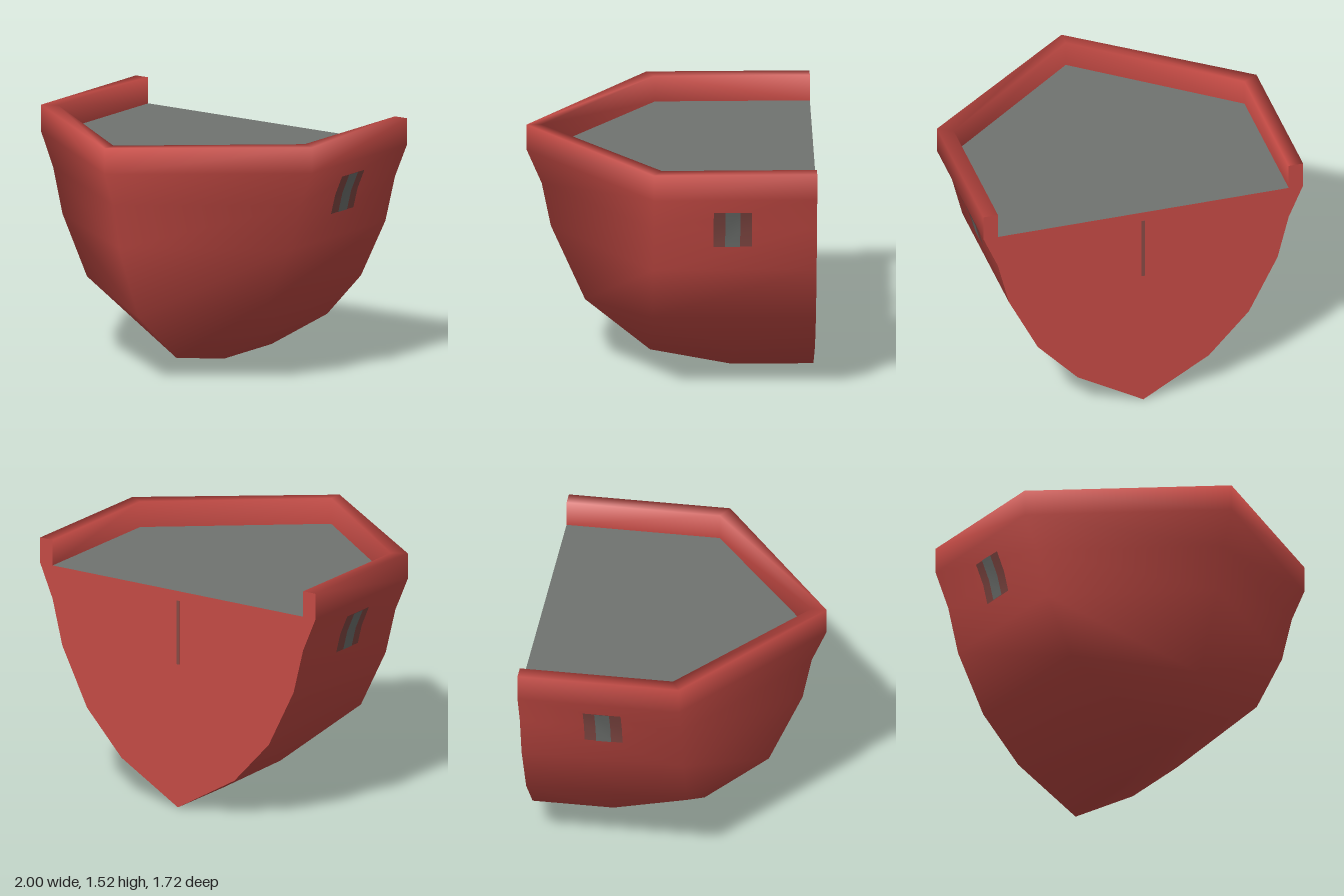
import * as THREE from 'three';
import { mergeVertices } from 'three/addons/utils/BufferGeometryUtils.js';

const red = new THREE.MeshStandardMaterial({ color: 0xc44a44 });
red.name = 'hull red';
const grey = new THREE.MeshStandardMaterial({ color: 0x707370, side: THREE.DoubleSide });
grey.name = 'deck grey';
const brown = new THREE.MeshStandardMaterial({ color: 0x854a45, side: THREE.DoubleSide });
brown.name = 'port surround brown';

const STERN = -0.86;
const DECK = 1.36;

// Each level: half width, side height, shoulder z, bow z, bow height
const levels = [
  [0, 0, -0.37, -0.37, 0],
  [0.41, 0.24, -0.37, 0.12, 0.095],
  [0.66, 0.51, 0.12, 0.51, 0.415],
  [0.84, 0.87, 0.12, 0.715, 0.88],
  [0.91, 1.15, 0.12, 0.77, 1.15],
  [1, 1.36, 0.12, 0.86, 1.36],
  [1, 1.52, 0.12, 0.86, 1.52],
  // top and inner side of the rail
  [0.91, 1.52, 0.07, 0.77, 1.52],
  [0.91, DECK, 0.07, 0.77, DECK],
];

// Smooth skin from the keel up, over the rail and down to the deck
function skinGeometry() {
  const pos = [];
  const idx = [];
  for (const [x, y, shoulder, bow, bowY] of levels) {
    pos.push(x, y, STERN, x, y, shoulder, 0, bowY, bow, -x, y, shoulder, -x, y, STERN);
  }
  for (let i = 0; i < levels.length - 1; i++) {
    for (let j = 0; j < 4; j++) {
      const a = i * 5 + j, b = a + 1, c = a + 5, d = a + 6;
      if (j < 2) idx.push(a, c, b, c, d, b);
      else idx.push(a, c, d, a, d, b);
    }
  }
  let g = new THREE.BufferGeometry();
  g.setAttribute('position', new THREE.Float32BufferAttribute(pos, 3));
  g.setIndex(idx);
  g = mergeVertices(g, 1e-4);
  g.computeVertexNormals();
  return g;
}

// Flat wall closing the stern, with the two rail ends standing above the deck
function sternGeometry() {
  const half = levels.map(([x, y]) => new THREE.Vector2(x, y));
  const other = half.slice(1).reverse().map((p) => new THREE.Vector2(-p.x, p.y));
  const g = new THREE.ShapeGeometry(new THREE.Shape([...half, ...other]));
  g.rotateY(Math.PI);
  g.translate(0, 0, STERN);
  return g;
}

function deckGeometry() {
  const outline = [[-0.91, STERN], [-0.91, 0.07], [0, 0.77], [0.91, 0.07], [0.91, STERN]];
  const g = new THREE.ShapeGeometry(new THREE.Shape(outline.map(([x, z]) => new THREE.Vector2(x, -z))));
  g.rotateX(-Math.PI / 2);
  g.translate(0, DECK, 0);
  return g;
}

// Thin strip that follows the slope of the hull side
function portGeometry(side, z0, z1, lift) {
  const pos = [];
  const idx = [];
  [[0.88, 1.03], [0.91, 1.15], [0.961, 1.27]].forEach(([x, y], i) => {
    pos.push(side * (x + lift), y, z0, side * (x + lift), y, z1);
    if (i === 0) return;
    const a = i * 2 - 2;
    if (side > 0) idx.push(a, a + 2, a + 1, a + 2, a + 3, a + 1);
    else idx.push(a, a + 1, a + 2, a + 2, a + 1, a + 3);
  });
  const g = new THREE.BufferGeometry();
  g.setAttribute('position', new THREE.Float32BufferAttribute(pos, 3));
  g.setIndex(idx);
  g.computeVertexNormals();
  return g;
}

export function createModel() {
  const model = new THREE.Group();
  model.name = 'shipBow';
  const add = (name, geometry, material) => {
    const mesh = new THREE.Mesh(geometry, material);
    mesh.name = name;
    model.add(mesh);
    return mesh;
  };

  add('hullAndRail', skinGeometry(), red);
  add('sternWall', sternGeometry(), red);
  add('deck', deckGeometry(), grey);

  // Side ports
  for (const [name, side] of [['left', 1], ['right', -1]]) {
    add(name + 'PortSurround', portGeometry(side, -0.47, -0.24, 0.003), brown);
    add(name + 'Port', portGeometry(side, -0.4, -0.31, 0.006), grey);
  }

  // Narrow seam on the stern wall
  add('sternSeam', new THREE.BoxGeometry(0.02, 0.4, 0.004), brown).position.set(0, 1.1, STERN - 0.001);
  return model;
}
